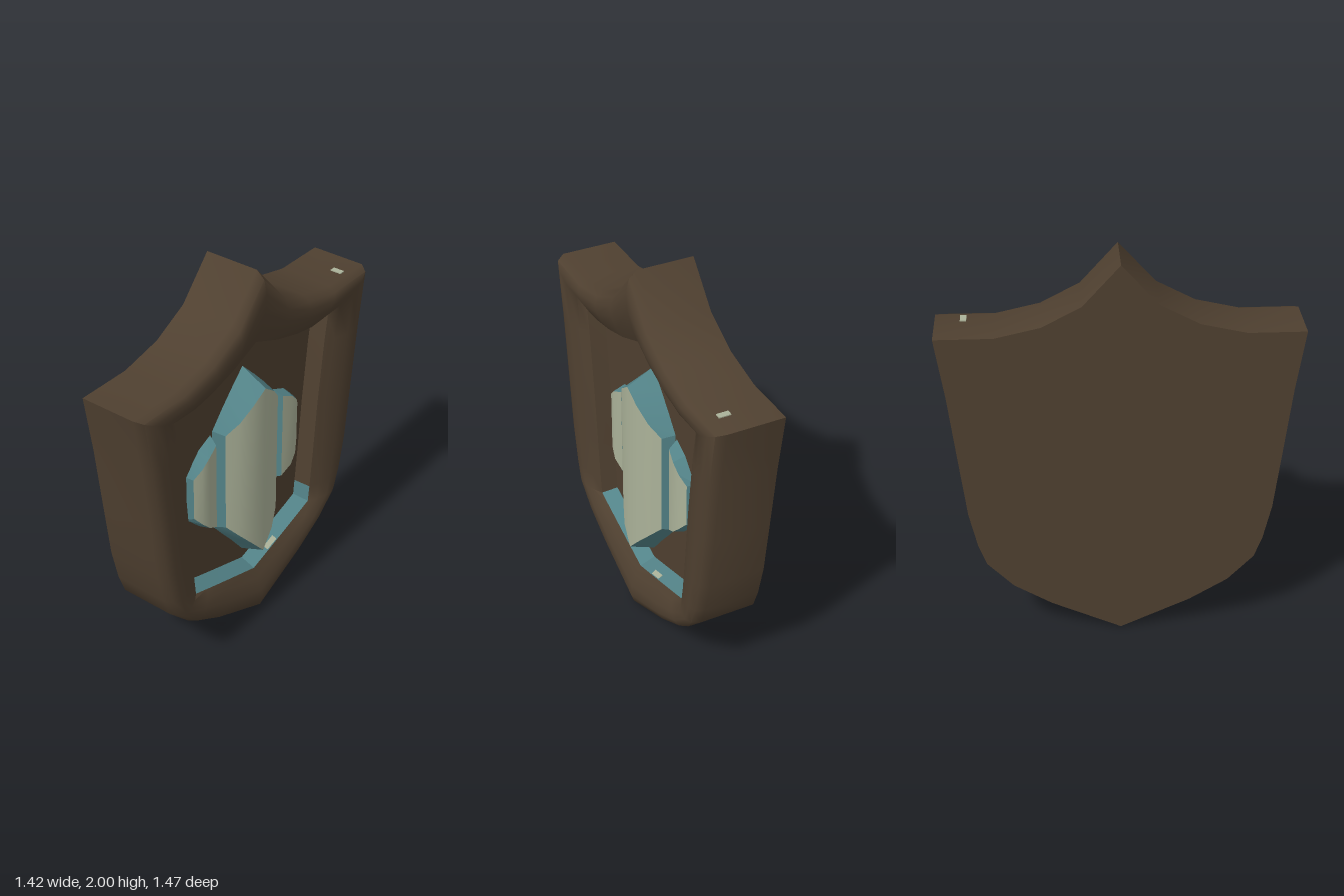
import * as THREE from 'three';
import { toCreasedNormals } from 'three/addons/utils/BufferGeometryUtils.js';

const mat = (name, color) => {
  const m = new THREE.MeshStandardMaterial({ color, side: THREE.DoubleSide });
  m.name = name;
  return m;
};

// Right half of each outline, bottom to top: [outer x, outer y, inner x, inner y]
const HALF = [
  [0, 0, 0, 0.25], [0.35, 0.16, 0.24, 0.325], [0.54, 0.275, 0.38, 0.37], [0.67, 0.41, 0.47, 0.4],
  [0.71, 0.52, 0.48, 0.49], [0.75, 0.7, 0.5, 0.7], [0.785, 1.0, 0.525, 1.0], [0.825, 1.35, 0.565, 1.35],
  [0.87, 1.65, 0.587, 1.49], [0.59, 1.65, 0.45, 1.485], [0.37, 1.7, 0.33, 1.505],
  [0.18, 1.8, 0.17, 1.55], [0, 2, 0, 1.62],
];
const FULL = [...HALF, ...HALF.slice(1, -1).reverse().map(([a, b, c, d]) => [-a, b, -c, d])];

// Ring blended from the outer outline (t = 0) to the opening (t = 1)
const ring = (t, z) => FULL.map(([a, b, c, d]) => [a + (c - a) * t, b + (d - b) * t, z]);

// Skin a list of counter-clockwise rings; use(i) picks which segments to keep
function loft(rings, crease, use = () => true) {
  const n = rings[0].length, index = [];
  for (let r = 0; r < rings.length - 1; r++) {
    for (let i = 0; i < n; i++) {
      if (!use(i)) continue;
      const j = (i + 1) % n, a = r * n + i, b = r * n + j;
      index.push(a, b, b + n, a, b + n, a + n);
    }
  }
  const g = new THREE.BufferGeometry();
  g.setAttribute('position', new THREE.Float32BufferAttribute(rings.flat(2), 3));
  g.setIndex(index);
  return toCreasedNormals(g, crease);
}

// Flat plate filling a ring
function plate(points) {
  const g = new THREE.ShapeGeometry(new THREE.Shape(points.map(([x, y]) => new THREE.Vector2(x, y))));
  return g.translate(0, 0, points[0][2]);
}

// Columns [x, top, bottom, z] joined into a smooth front face
function columnFace(cols) {
  const pos = [], index = [];
  cols.forEach(([x, top, bottom, z], i) => {
    pos.push(x, bottom, z, x, top, z);
    if (i) {
      const a = 2 * i - 2;
      index.push(a, a + 2, a + 3, a, a + 3, a + 1);
    }
  });
  const g = new THREE.BufferGeometry();
  g.setAttribute('position', new THREE.Float32BufferAttribute(pos, 3));
  g.setIndex(index);
  g.computeVertexNormals();
  return g;
}
const perimeter = (cols) => [
  ...cols.map(([x, , b, z]) => [x, b, z]),
  ...[...cols].reverse().map(([x, t, , z]) => [x, t, z]),
];
const mirror = (cols) => cols.map(([x, ...rest]) => [-x, ...rest]).reverse();

export function createModel() {
  const brown = mat('dark wood brown', 0x4f4030);
  const teal = mat('muted teal', 0x538388);
  const pale = mat('pale sage', 0xabb299);

  const model = new THREE.Group();
  const shield = new THREE.Group();
  shield.name = 'shield';
  shield.rotation.y = 0.81;
  model.add(shield);
  const add = (name, geometry, material, parent = shield) => {
    const m = new THREE.Mesh(geometry, material);
    m.name = name;
    parent.add(m);
    return m;
  };

  // Rounded frame, from the back edge over the crest to the opening
  const profile = [[0, -0.156], [0, 0.13], [0.1, 0.172], [0.28, 0.187], [0.52, 0.182], [0.8, 0.157], [1, 0.13]];
  add('frame', loft(profile.map(([t, z]) => ring(t, z)), 0.9), brown);

  // Flat back
  const back = plate(ring(0, 0.156)).rotateY(Math.PI);
  add('back', back, brown);

  // Sloped wall of the opening, teal along the bottom, and the recessed panel
  const lip = ring(1, 0.13);
  const floor = lip.map(([x, y]) => [x * 0.95, 0.93 + (y - 0.93) * 0.955, 0.05]);
  const isTeal = (i) => i <= 3 || i >= FULL.length - 3;
  add('openingWall', loft([lip, floor], 0.5, (i) => !isTeal(i)), brown);
  add('bottomTrim', loft([lip, floor], 0.5, isTeal), teal);
  add('panel', plate(floor), brown);

  // Crystals: pale front face with a teal bevel down to the panel
  const crystal = (name, face, base) => {
    const g = new THREE.Group();
    g.name = name;
    shield.add(g);
    add('crystalFace', columnFace(face), pale, g);
    add('crystalBevel', loft([perimeter(base), perimeter(face)], 0.3), teal, g);
  };
  const half = [[0, 1.385, 0.4, 0.188], [0.08, 1.325, 0.49, 0.18], [0.15, 1.25, 0.57, 0.152], [0.207, 1.19, 0.64, 0.11]];
  const halfBase = [[0, 1.46, 0.34, 0.045], [0.09, 1.37, 0.455, 0.045], [0.17, 1.285, 0.55, 0.045], [0.235, 1.21, 0.63, 0.045]];
  crystal('centreCrystal', [...mirror(half.slice(1)), ...half], [...mirror(halfBase.slice(1)), ...halfBase]);

  const side = [[0.265, 1.165, 0.675, 0.1], [0.33, 1.135, 0.715, 0.112], [0.375, 1.09, 0.76, 0.105], [0.415, 1.04, 0.81, 0.082]];
  const sideBase = [[0.245, 1.2, 0.645, 0.04], [0.335, 1.16, 0.695, 0.04], [0.385, 1.11, 0.745, 0.04], [0.435, 1.055, 0.795, 0.04]];
  crystal('leftCrystal', side, sideBase);
  crystal('rightCrystal', mirror(side), mirror(sideBase));

  // Small pale chips on the top edge and the bottom trim
  const topChip = add('topChip', new THREE.BoxGeometry(0.03, 0.006, 0.06), pale);
  topChip.position.set(0.735, 1.652, 0.075);
  const trimChip = add('trimChip', new THREE.BoxGeometry(0.08, 0.028, 0.006), pale);
  trimChip.position.set(0.16, 0.306, 0.112);
  trimChip.rotation.set(-1.1, 0, 0.3, 'ZXY');

  return model;
}
